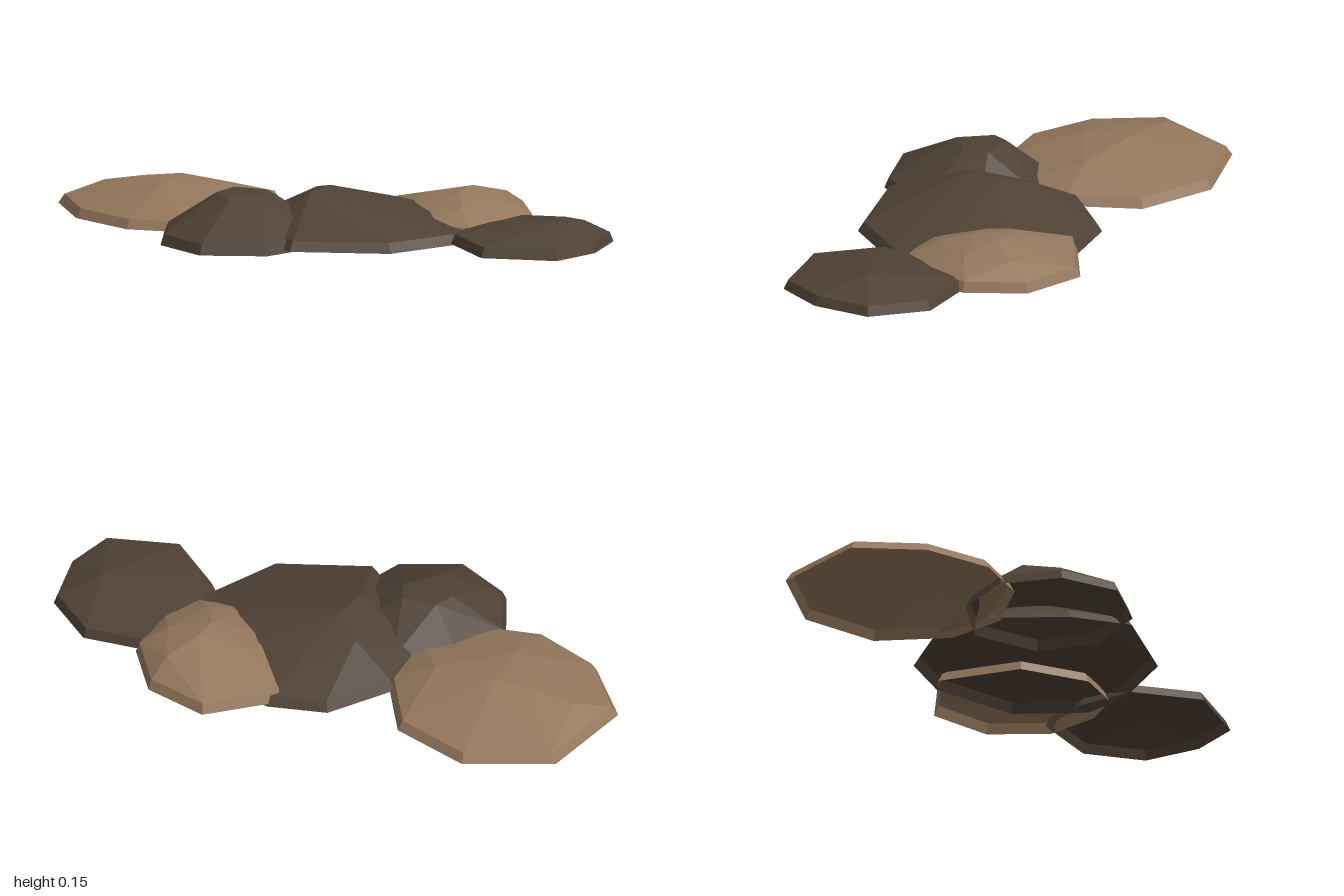
import * as THREE from 'three';
import { ConvexGeometry } from 'three/addons/geometries/ConvexGeometry.js';

const material = (name, color) =>
  new THREE.MeshStandardMaterial({ name, color, flatShading: true, side: THREE.DoubleSide });

// Faceted shell: ground outline, slightly inset shoulder and a few crest points, open underneath
function mound(name, mat, base, shoulder, outline, crest) {
  const n = outline.length;
  const cx = outline.reduce((s, p) => s + p[0], 0) / n;
  const cz = outline.reduce((s, p) => s + p[1], 0) / n;
  const points = crest.map((p) => new THREE.Vector3(...p));
  for (const [x, z] of outline) {
    points.push(new THREE.Vector3(x, base, z));
    points.push(new THREE.Vector3(cx + (x - cx) * 0.95, shoulder, cz + (z - cz) * 0.95));
  }
  const hull = new ConvexGeometry(points).getAttribute('position');

  // Drop the flat underside
  const kept = [];
  for (let i = 0; i < hull.count; i += 3) {
    const tri = [i, i + 1, i + 2];
    if (tri.every((k) => hull.getY(k) < base + 0.001)) continue;
    for (const k of tri) kept.push(hull.getX(k), hull.getY(k), hull.getZ(k));
  }
  const geometry = new THREE.BufferGeometry();
  geometry.setAttribute('position', new THREE.Float32BufferAttribute(kept, 3));
  geometry.computeVertexNormals();
  const mesh = new THREE.Mesh(geometry, mat);
  mesh.name = name;
  return mesh;
}

export function createModel() {
  const tan = material('dry earth', 0x94775c);
  const dark = material('damp earth', 0x4f4135);
  const group = new THREE.Group();
  group.name = 'earthMounds';

  // Broad pale mound on the -x side
  group.add(mound('broadPaleMound', tan, 0.005, 0.037,
    [[-0.62, -0.45], [-0.35, -0.36], [-0.22, -0.13], [-0.24, 0.08], [-0.4, 0.25],
      [-0.61, 0.29], [-0.84, 0.2], [-1, 0], [-0.91, -0.33]],
    [[-0.87, -0.09, 0.08], [-0.73, -0.1, 0.105], [-0.6, -0.12, 0.12], [-0.6, 0.06, 0.105],
      [-0.38, -0.1, 0.1]].map(([x, z, y]) => [x, y, z])));

  // Small steep mound at the front
  group.add(mound('frontMound', dark, 0, 0.036,
    [[-0.49, 0.25], [-0.41, 0.45], [-0.22, 0.545], [-0.01, 0.46], [0.09, 0.25],
      [0.02, 0.05], [-0.2, -0.05], [-0.4, 0.05]],
    [[-0.31, 0.147, 0.22], [-0.22, 0.148, 0.31], [-0.13, 0.147, 0.22],
      [-0.16, 0.154, 0.14], [-0.28, 0.154, 0.15], [-0.34, 0.12, 0.24]]));

  // Large dark mound in the middle
  group.add(mound('middleMound', dark, 0.012, 0.045,
    [[-0.1, -0.37], [0.1, -0.415], [0.4, -0.32], [0.54, -0.1], [0.51, 0.07],
      [0.37, 0.3], [0.05, 0.415], [-0.12, 0.28], [-0.27, 0.05], [-0.26, -0.17]],
    [[-0.02, 0.15, 0.1], [0, 0.153, -0.02], [-0.09, 0.125, -0.1]]));

  // Pale mound at the back
  group.add(mound('backPaleMound', tan, 0.02, 0.055,
    [[0.28, -0.55], [0.5, -0.49], [0.62, -0.31], [0.6, -0.12], [0.52, 0.0],
      [0.35, 0.03], [0.14, -0.1], [0.06, -0.38]],
    [[0.4, 0.137, -0.29], [0.39, 0.133, -0.2], [0.24, 0.106, -0.26],
      [0.53, 0.105, -0.25], [0.47, 0.104, -0.4], [0.45, 0.1, -0.09]]));

  // Low dark mound on the +x side
  group.add(mound('lowMound', dark, 0.02, 0.053,
    [[0.56, -0.29], [0.81, -0.31], [0.975, -0.17], [1, 0.03], [0.94, 0.2],
      [0.69, 0.265], [0.5, 0.1], [0.49, -0.1]],
    [[0.84, 0.109, -0.08]]));

  return group;
}
